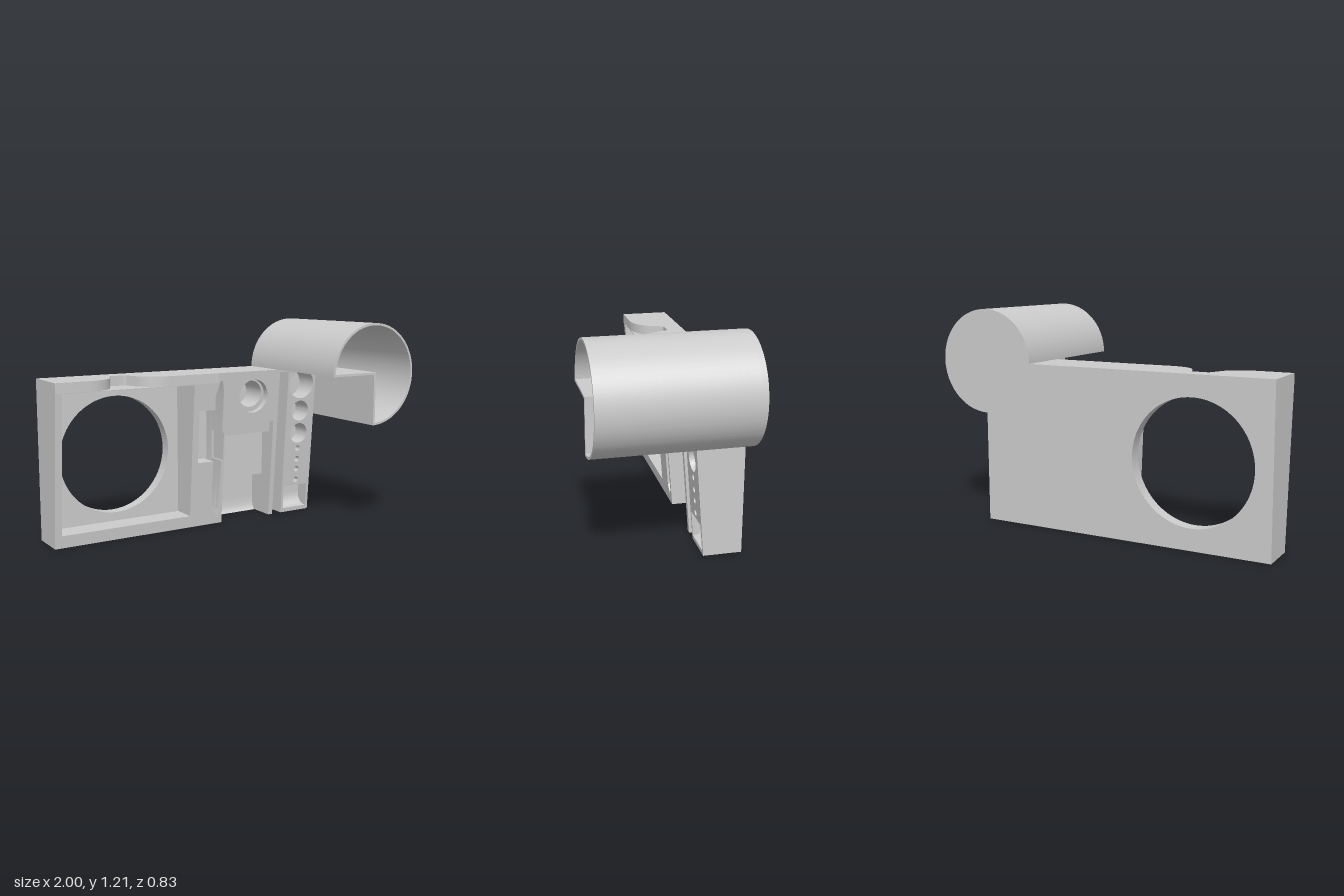
import * as THREE from 'three';
import { toCreasedNormals } from 'three/addons/utils/BufferGeometryUtils.js';

const RIGHT = 0.707, TOP = 0.917, RIM = 0.86;   // body extents
const CX = RIGHT, CY = TOP, R = 0.293;          // cup axis and radius
const front = y => -0.205 + 0.082 * y;          // sloping front face
const shelf = y => front(y) - 0.04;             // shallow step behind it

const poly = pts => pts.map(p => new THREE.Vector2(p[0], p[1]));
const rect = (x0, y0, x1, y1) => poly([[x0, y0], [x1, y0], [x1, y1], [x0, y1]]);
const disc = (x, y, r, n = 48) => Array.from({ length: n }, (_, i) => {
  const a = i / n * Math.PI * 2;
  return new THREE.Vector2(x + r * Math.cos(a), y + r * Math.sin(a));
});

export function createModel() {
  const group = new THREE.Group();
  const mat = new THREE.MeshStandardMaterial({ color: 0xcccccc });
  const add = (name, geo) => {
    const mesh = new THREE.Mesh(toCreasedNormals(geo, 0.5), mat);
    mesh.name = name;
    group.add(mesh);
  };

  // One slab of the body between two depths, each a function of height
  const layer = (name, outline, holes, back, face) => {
    const shape = new THREE.Shape(outline);
    shape.holes = holes.map(h => new THREE.Path(h));
    const geo = new THREE.ExtrudeGeometry(shape, { depth: 1, bevelEnabled: false });
    const p = geo.attributes.position;
    for (let i = 0; i < p.count; i++) p.setZ(i, (p.getZ(i) < 0.5 ? back : face)(p.getY(i)));
    geo.computeVertexNormals();
    add(name, geo);
  };
  const at = z => () => z;

  // Body outline with the tool recess and narrow channel open at the bottom
  const outline = (recessTop, leftTop, ledge) => poly([
    [-1, 0], [0.06, 0], [0.06, recessTop],
    ...(ledge ? [[0.09, recessTop], [0.09, 0.6], [0.405, 0.6]] : [[0.405, recessTop]]),
    [0.405, 0], [0.435, 0], [0.435, 0.9], [0.5, 0.9], [0.5, 0],
    [RIGHT, 0], [RIGHT, TOP], [0, TOP], [0, leftTop], [-1, leftTop],
  ]);

  // Openings
  const lens = disc(-0.565, 0.46, 0.34, 96);
  const bay = rect(-0.96, 0.07, -0.16, RIM - 0.004);
  const slot = poly([[0.025, 0.05], [0.04, 0.09], [0.04, 0.8], [0.03, 0.87],
    [0.015, 0.87], [-0.015, 0.78], [-0.015, 0.1]]);
  const slotWithGrip = poly([[0.025, 0.05], [0.04, 0.09], [0.04, 0.39], [0.052, 0.39],
    [0.052, 0.56], [0.04, 0.56], [0.04, 0.8], [0.03, 0.87], [0.015, 0.87],
    [-0.015, 0.78], [-0.015, 0.7], [-0.12, 0.7], [-0.12, 0.39], [-0.015, 0.39], [-0.015, 0.1]]);
  const socket = disc(0.25, 0.775, 0.08);
  const wells = [disc(0.602, 0.818, 0.089), disc(0.602, 0.65, 0.063), disc(0.602, 0.507, 0.063)];
  const dots = [0.41, 0.34, 0.275, 0.205].map(y => disc(0.602, y, 0.018, 20));
  const tray = rect(0.515, 0.025, 0.69, 0.17);

  layer('backPlate', rect(-1, 0, RIGHT, TOP), [lens], at(-0.415), at(-0.39));
  layer('bayFloor', outline(0.25, TOP), [lens], at(-0.39), at(-0.345));
  layer('bodyCore', outline(0.25, RIM), [bay, slot, socket], at(-0.345), at(-0.28));
  layer('bodyMiddle', outline(0.53, RIM), [bay, slotWithGrip, socket, tray, ...wells], at(-0.28), shelf);
  layer('bodyFace', outline(0.56, RIM, true),
    [bay, slotWithGrip, disc(0.25, 0.765, 0.1), tray, ...wells, ...dots], shelf, front);

  // Upper rim of the bay with its finger notch, drawn in plan
  const rim = new THREE.Shape();
  rim.moveTo(-1, 0.345);
  rim.lineTo(-1, 0.132);
  rim.lineTo(-0.81, 0.132);
  rim.bezierCurveTo(-0.74, 0.132, -0.67, 0.165, -0.645, 0.225);
  rim.lineTo(-0.617, 0.295);
  rim.quadraticCurveTo(-0.612, 0.31, -0.6, 0.31);
  rim.lineTo(-0.525, 0.31);
  rim.quadraticCurveTo(-0.513, 0.31, -0.508, 0.295);
  rim.lineTo(-0.48, 0.225);
  rim.bezierCurveTo(-0.455, 0.165, -0.385, 0.132, -0.31, 0.132);
  rim.lineTo(0, 0.132);
  rim.lineTo(0, 0.345);
  const rimGeo = new THREE.ExtrudeGeometry(rim, { depth: TOP - RIM, bevelEnabled: false, curveSegments: 12 });
  rimGeo.rotateX(-Math.PI / 2).translate(0, RIM, 0);
  add('notchedRim', rimGeo);

  // Concave ramps at the foot of the recesses
  const scoop = (name, x0, x1, y, height, z, depth) => {
    const s = new THREE.Shape();
    s.moveTo(0, 0);
    s.lineTo(depth, 0);
    s.quadraticCurveTo(0, 0, 0, height);
    const geo = new THREE.ExtrudeGeometry(s, { depth: x1 - x0, bevelEnabled: false });
    geo.rotateY(-Math.PI / 2).translate(x1, y, z);
    add(name, geo);
  };
  scoop('recessScoop', 0.06, 0.405, 0, 0.1, -0.39, 0.03);
  scoop('trayScoop', 0.515, 0.69, 0.025, 0.08, -0.28, 0.07);

  // Three-quarter cup: the lower left quadrant is left open over the body
  const sector = r => {
    const s = new THREE.Shape();
    s.moveTo(CX, CY);
    s.lineTo(CX, CY - r);
    s.absarc(CX, CY, r, -Math.PI / 2, Math.PI, false);
    s.lineTo(CX, CY);
    return s;
  };
  const cup = (name, shape, z0, z1) => {
    const geo = new THREE.ExtrudeGeometry(shape, { depth: z1 - z0, bevelEnabled: false, curveSegments: 72 });
    add(name, geo.translate(0, 0, z0));
  };
  const wall = sector(R);
  const t = 0.013, ri = R - t, a = Math.asin(t / ri);
  const cavity = new THREE.Path();
  cavity.moveTo(CX + t, CY + t);
  cavity.lineTo(CX + t, CY - ri * Math.cos(a));
  cavity.absarc(CX, CY, ri, -Math.PI / 2 + a, Math.PI - a, false);
  cavity.lineTo(CX + t, CY + t);
  wall.holes.push(cavity);
  cup('cupFloor', sector(R), -0.415, -0.385);
  cup('cupWall', wall, -0.385, 0.412);

  return group;
}
